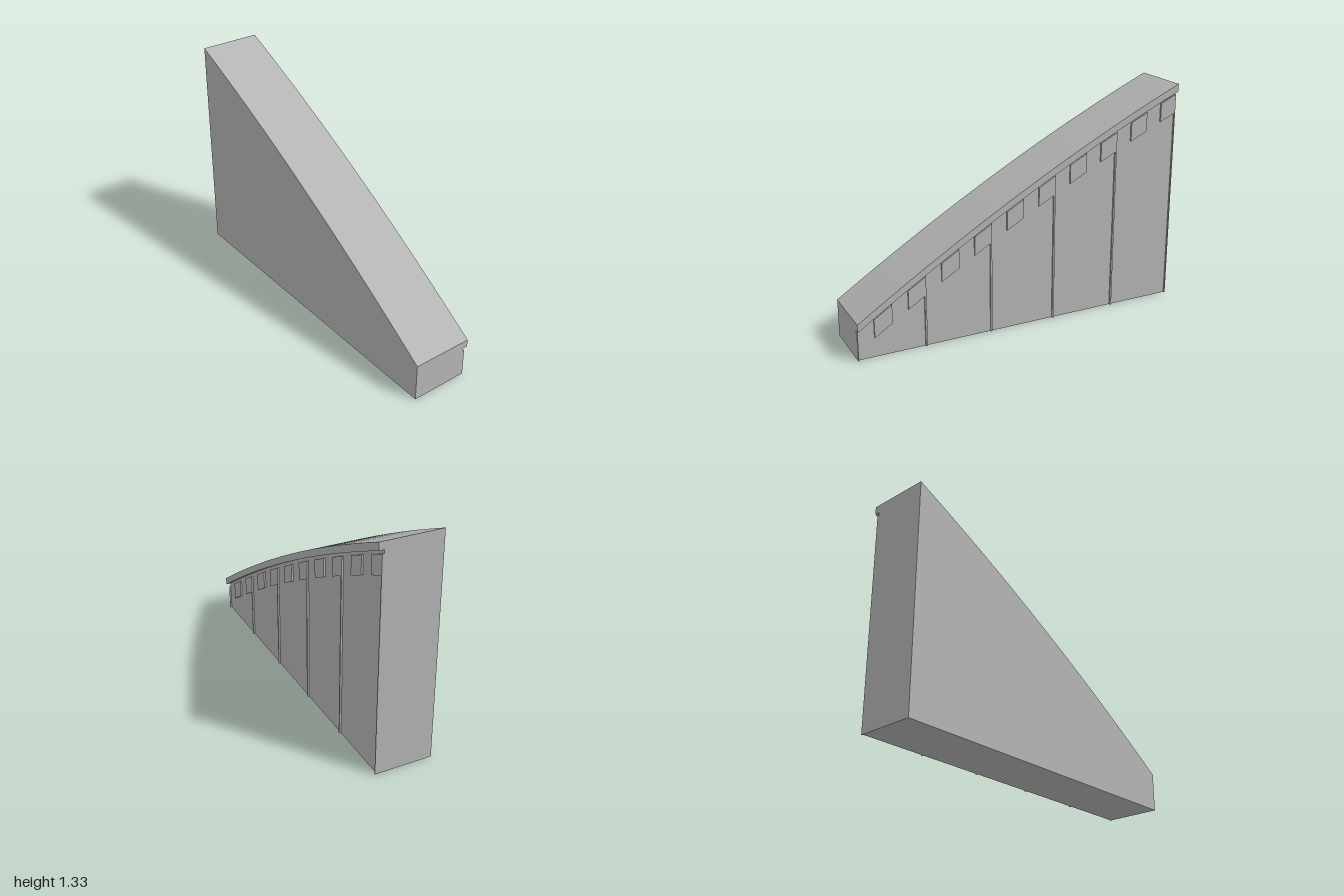
import * as THREE from 'three';

const stone = new THREE.MeshStandardMaterial({ color: 0xb4b4b4 });
stone.name = 'grey stone';

// Gently bowed slope of the top edge
const slope = (x) => 0.834 - 0.5525 * x - 0.056 * x * x;

// Upright slab between x0 and x1, from a lower curve to an upper curve, z0 to z1
function slab(name, x0, x1, lower, upper, z0, z1, steps) {
  const points = [];
  for (let i = 0; i <= steps; i++) {
    const x = x0 + ((x1 - x0) * i) / steps;
    points.push(new THREE.Vector2(x, lower(x)));
  }
  for (let i = steps; i >= 0; i--) {
    const x = x0 + ((x1 - x0) * i) / steps;
    points.push(new THREE.Vector2(x, upper(x)));
  }
  const geometry = new THREE.ExtrudeGeometry(new THREE.Shape(points), {
    depth: z1 - z0, bevelEnabled: false,
  });
  geometry.translate(0, 0, z0);
  const mesh = new THREE.Mesh(geometry, stone);
  mesh.name = name;
  return mesh;
}

export function createModel() {
  const model = new THREE.Group();
  model.name = 'slopingWall';

  const wallBack = -0.15;
  const reliefBack = -0.16;
  const ground = () => 0;
  const capBottom = (x) => slope(x) - 0.045;
  const blockTop = (x) => slope(x) - 0.065;
  const blockBottom = (x) => slope(x) - 0.175;

  // Main wall and the overhanging coping on its back
  model.add(slab('wall', -1, 1, ground, slope, wallBack, 0.18, 24));
  model.add(slab('coping', -1, 1, capBottom, slope, -0.18, wallBack, 24));

  // Raised blocks under the coping, with a thin rib below every second one
  for (let i = 0; i <= 10; i++) {
    const x = -1 + i * 0.2;
    const x0 = Math.max(-1, x - 0.005);
    const blockEnd = Math.min(1, x + 0.1);
    model.add(slab('block', x0, blockEnd, blockBottom, blockTop, reliefBack, wallBack, 1));
    if (i % 2 === 0) {
      const ribEnd = Math.min(1, x + 0.005);
      model.add(slab('rib', x0, ribEnd, ground, blockBottom, reliefBack, wallBack, 1));
    }
  }
  return model;
}
